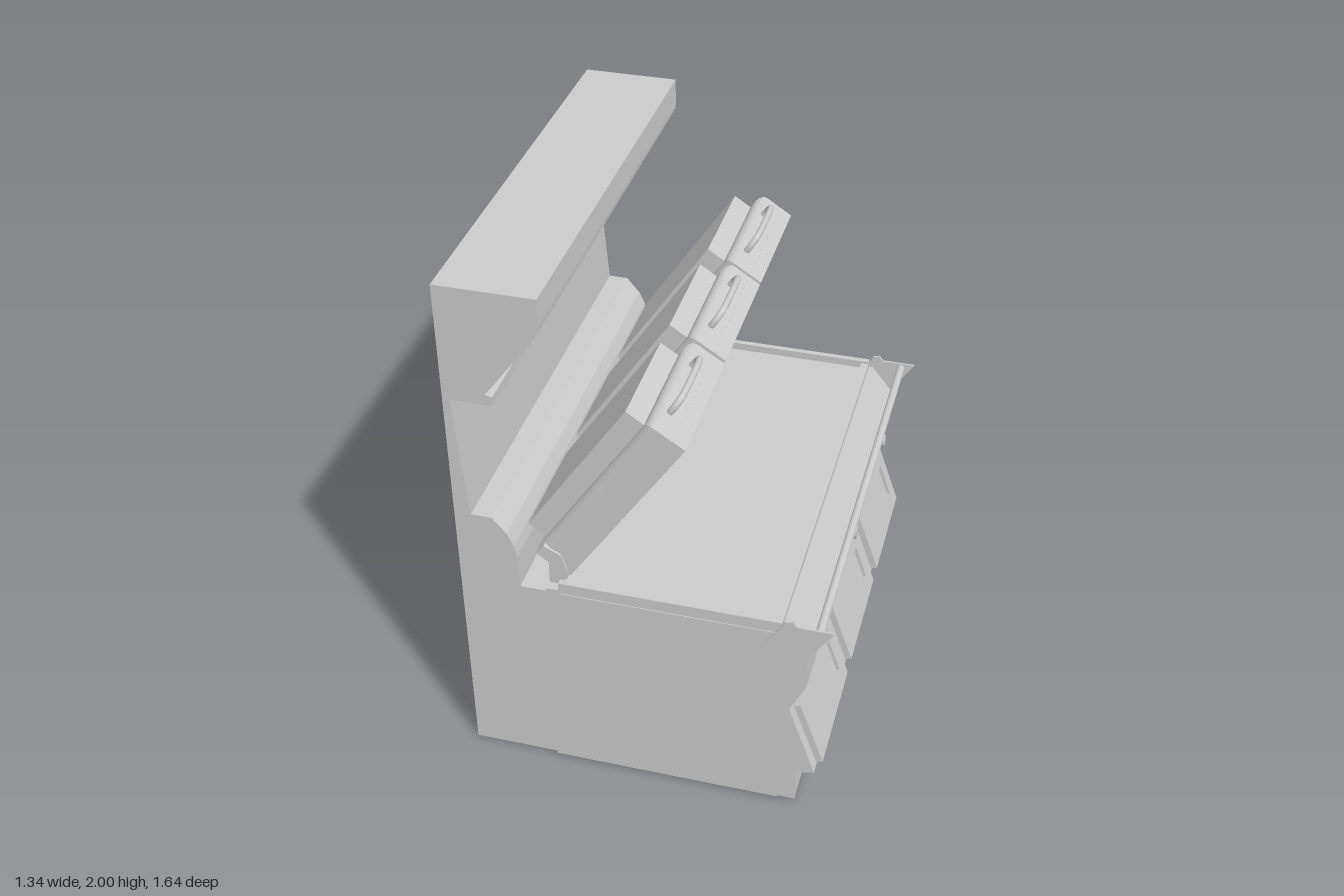
import * as THREE from 'three';

const material = new THREE.MeshStandardMaterial({ color: 0xcccccc });

function add(parent, name, geometry, x = 0, y = 0, z = 0) {
  const mesh = new THREE.Mesh(geometry, material);
  mesh.name = name;
  mesh.position.set(x, y, z);
  parent.add(mesh);
  return mesh;
}

const shapeOf = (pts) => new THREE.Shape(pts.map(([x, y]) => new THREE.Vector2(x, y)));

// Side profile in x/y, extruded from z0 to z1
function slab(parent, name, pts, z0, z1) {
  const geo = new THREE.ExtrudeGeometry(shapeOf(pts), { depth: z1 - z0, bevelEnabled: false });
  return add(parent, name, geo, 0, 0, z0);
}

// Box given by its limits
function block(parent, name, x0, x1, y0, y1, z0, z1) {
  return add(parent, name, new THREE.BoxGeometry(x1 - x0, y1 - y0, z1 - z0),
    (x0 + x1) / 2, (y0 + y1) / 2, (z0 + z1) / 2);
}

const rect = (x0, y0, x1, y1) => [[x0, y0], [x1, y0], [x1, y1], [x0, y1]];

// Raised cooking lid: local x runs up the lid, local y out of its back
function makeLid(z) {
  const lid = new THREE.Group();
  lid.name = 'lid';
  lid.position.set(-0.27, 0.87, z);
  lid.rotation.z = Math.atan2(0.83, 0.555);
  block(lid, 'upperCookingPlate', 0, 0.746, 0, 0.05, -0.255, 0.255);

  // Housing with rounded shoulders
  const r = 0.035;
  const housing = new THREE.ExtrudeGeometry(shapeOf(rect(0.01 + r, -0.255 + r, 0.745 - r, 0.255 - r)), {
    depth: 0.148 - 0.005 - 2 * r, bevelThickness: r, bevelSize: r, bevelSegments: 5,
  });
  housing.rotateX(-Math.PI / 2);
  add(lid, 'lidHousing', housing, 0, 0.005 + r, 0);
  block(lid, 'lidBackBox', 0.044, 0.696, 0.14, 0.223, -0.207, 0.207);

  // Bent grip on the top end
  const grip = new THREE.CatmullRomCurve3([
    [0.73, -0.138], [0.775, -0.135], [0.803, -0.115], [0.812, -0.08],
    [0.812, 0.08], [0.803, 0.115], [0.775, 0.135], [0.73, 0.138],
  ].map(([s, w]) => new THREE.Vector3(s, 0.1, w)));
  add(lid, 'lidHandle', new THREE.TubeGeometry(grip, 40, 0.012, 10));
  return lid;
}

// Tilted drawer front with a recessed window
function makeDoor(z, width) {
  const door = new THREE.Group();
  door.name = 'door';
  door.position.set(0.577, 0.315, z);
  door.rotation.z = Math.atan2(0.09, 0.26);
  const w = width / 2, h = 0.137;
  const shape = shapeOf(rect(-w, -h, w, h));
  shape.holes.push(new THREE.Path(rect(-0.175, -0.068, 0.175, 0.08).reverse().map(([x, y]) => new THREE.Vector2(x, y))));
  const frame = new THREE.ExtrudeGeometry(shape, { depth: 0.025, bevelEnabled: false });
  frame.rotateY(Math.PI / 2);
  add(door, 'doorFrame', frame);
  block(door, 'doorPanel', -0.01, 0.012, -0.1, 0.1, -0.2, 0.2);
  return door;
}

export function createModel() {
  const model = new THREE.Group();
  model.name = 'griddleStation';

  // Tall back wall with overhanging hood and curved lower shelf
  slab(model, 'backWall', [
    [-0.67, 0], [-0.35, 0], [-0.35, 0.8], [-0.45, 0.8], [-0.452, 0.93], [-0.462, 0.98], [-0.485, 1.03],
    [-0.535, 1.09], [-0.61, 1.09], [-0.645, 1.565], [-0.495, 1.565], [-0.495, 1.6], [-0.52, 1.605],
    [-0.5, 1.63], [-0.33, 1.865], [-0.322, 1.88], [-0.32, 1.9], [-0.32, 2], [-0.67, 2],
  ], -0.8, 0.8);

  // Cabinet, control panel and cooking top
  slab(model, 'cabinet', rect(-0.35, 0.005, 0.49, 0.81), -0.815, 0.815);
  slab(model, 'frontPanel', [
    [0.48, 0.01], [0.555, 0.01], [0.555, 0.15], [0.622, 0.165], [0.522, 0.46],
    [0.58, 0.58], [0.58, 0.72], [0.5, 0.82], [0.48, 0.82],
  ], -0.813, 0.813);
  block(model, 'cookingPlate', -0.3, 0.46, 0.8, 0.825, -0.79, 0.79);
  block(model, 'frontLip', 0.455, 0.485, 0.8, 0.845, -0.8, 0.8);

  // Hinge beam carrying the lids
  slab(model, 'hingeBeam', [
    [-0.345, 0.81], [-0.3, 0.81], [-0.3, 0.85], [-0.28, 0.86], [-0.28, 0.9],
    [-0.3, 0.96], [-0.36, 0.99], [-0.39, 0.955], [-0.345, 0.92],
  ], -0.785, 0.785);

  // Matching parts on both ends
  for (const s of [-1, 1]) {
    const ends = (a, b) => [Math.min(s * a, s * b), Math.max(s * a, s * b)];
    block(model, 'sideRail', -0.305, 0.485, 0.8, 0.855, ...ends(0.79, 0.812));
    block(model, 'rearCorner', -0.35, -0.305, 0.8, 0.83, ...ends(0.78, 0.82));
    slab(model, 'railBracket', [
      [0.43, 0.765], [0.52, 0.76], [0.545, 0.73], [0.58, 0.72], [0.668, 0.855],
      [0.54, 0.855], [0.525, 0.875], [0.5, 0.868], [0.485, 0.84],
    ], ...ends(0.812, 0.82));
  }

  // Front rail
  const rail = new THREE.CylinderGeometry(0.015, 0.015, 1.63, 20);
  rail.rotateX(Math.PI / 2);
  add(model, 'frontRail', rail, 0.615, 0.836, 0);

  for (const z of [-0.53, -0.005, 0.522]) model.add(makeLid(z));
  for (const z of [-0.542, 0.002, 0.545]) model.add(makeDoor(z, 0.468));

  // Control knobs
  for (const z of [-0.57, 0.025, 0.605]) {
    const stem = new THREE.CylinderGeometry(0.016, 0.016, 0.03, 20);
    const cap = new THREE.CylinderGeometry(0.025, 0.021, 0.025, 24);
    stem.rotateZ(-Math.PI / 2);
    cap.rotateZ(-Math.PI / 2);
    add(model, 'knobStem', stem, 0.58, 0.64, z);
    add(model, 'knob', cap, 0.592, 0.64, z);
  }
  return model;
}
